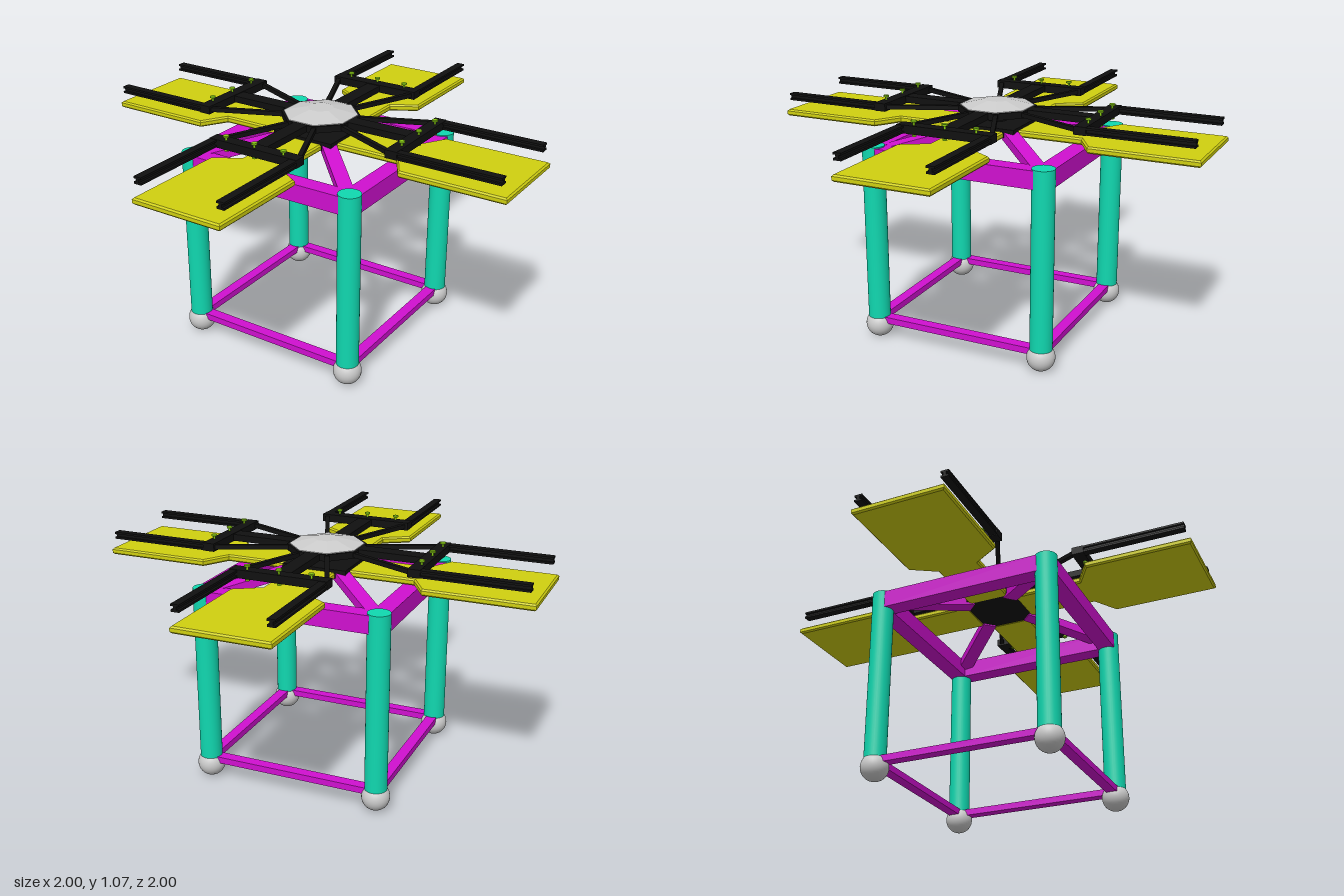
import * as THREE from 'three';

const mat = (color) => new THREE.MeshStandardMaterial({ color, side: THREE.DoubleSide });
const grey = mat(0xcccccc);
const teal = mat(0x10d8b0);
const magenta = mat(0xd010d0);
const yellow = mat(0xd0d010);
const black = mat(0x101010);
const green = mat(0x88cc11);
const facetGrey = grey.clone();
facetGrey.flatShading = true;
const facetBlack = black.clone();
facetBlack.flatShading = true;

function add(parent, name, geometry, material, x = 0, y = 0, z = 0) {
  const mesh = new THREE.Mesh(geometry, material);
  mesh.name = name;
  mesh.position.set(x, y, z);
  parent.add(mesh);
  return mesh;
}

// Rectangular bar running between two points
function beam(parent, name, a, b, width, height, material) {
  const from = new THREE.Vector3(...a), to = new THREE.Vector3(...b);
  const mesh = add(parent, name, new THREE.BoxGeometry(width, height, from.distanceTo(to)), material);
  mesh.position.copy(from).lerp(to, 0.5);
  mesh.lookAt(to);
  return mesh;
}

// Octagonal prism or frustum with its flats facing the axes
function octagon(flatTop, flatBottom, height) {
  const k = 1 / Math.cos(Math.PI / 8);
  return new THREE.CylinderGeometry(flatTop * k, flatBottom * k, height, 8).rotateY(Math.PI / 8);
}

// Leg, foot, rails and roof brace of one corner of the stand
function createCorner() {
  const corner = new THREE.Group();
  corner.name = 'standCorner';
  const p = 0.405;
  add(corner, 'leg', new THREE.CylinderGeometry(0.05, 0.05, 0.85, 32), teal, p, 0.485, p);
  add(corner, 'foot', new THREE.SphereGeometry(0.063, 32, 20), grey, p, 0.063, p);
  beam(corner, 'topRail', [-p, 0.865, p], [p, 0.865, p], 0.08, 0.08, magenta);
  beam(corner, 'bottomRail', [-p, 0.09, p], [p, 0.09, p], 0.05, 0.03, magenta);
  beam(corner, 'roofBrace', [p, 0.872, p], [0.1, 0.95, 0.1], 0.065, 0.04, magenta);
  return corner;
}

// Flat paddle with a narrow root, lying under the arm
function createPaddle() {
  const b = 0.007;
  const half = [[0.13, 0.1], [0.45, 0.1], [0.52, 0.215], [1, 0.215]];
  const outline = [...half, ...half.map(([x, z]) => [x, -z]).reverse()];
  const shape = new THREE.Shape(outline.map(([x, z]) =>
    new THREE.Vector2(x === 1 ? x - b : x, z - Math.sign(z) * b)));
  return new THREE.ExtrudeGeometry(shape, {
    depth: 0.016, bevelEnabled: true, bevelSize: b, bevelThickness: b, bevelSegments: 1
  }).rotateX(-Math.PI / 2).translate(0, 0.942, 0);
}

// I-section rail laid along x
function railGeometry(length) {
  const w = 0.018, h = 0.016, t = 0.007, f = 0.009;
  const right = [[w, -h], [w, f - h], [t, f - h], [t, h - f], [w, h - f], [w, h]];
  const points = [...right, ...right.map(([x, y]) => [-x, y]).reverse()];
  const shape = new THREE.Shape(points.map(([x, y]) => new THREE.Vector2(x, y)));
  return new THREE.ExtrudeGeometry(shape, { depth: length, bevelEnabled: false }).rotateY(Math.PI / 2);
}

function createArm() {
  const arm = new THREE.Group();
  arm.name = 'arm';
  add(arm, 'paddle', createPaddle(), yellow);
  beam(arm, 'spar', [0.1, 1.03, 0], [0.47, 1.03, 0], 0.07, 0.03, black);
  add(arm, 'crossbar', new THREE.BoxGeometry(0.055, 0.036, 0.44), black, 0.483, 1.03, 0);
  for (const s of [-1, 1]) {
    add(arm, 'sideRail', railGeometry(0.515), black, 0.46, 1.03, s * 0.202);
    beam(arm, 'strut', [0.14, 1.03, s * 0.06], [0.465, 1.03, s * 0.2], 0.02, 0.02, black);
  }
  // Bolts through the crossbar
  for (const z of [-0.145, 0, 0.145]) {
    add(arm, 'boltShank', new THREE.CylinderGeometry(0.005, 0.005, 0.066, 12), green, 0.493, 1.033, z);
    add(arm, 'boltHead', new THREE.CylinderGeometry(0.013, 0.013, 0.007, 16), green, 0.493, 1.066, z);
    add(arm, 'boltNut', new THREE.CylinderGeometry(0.011, 0.011, 0.007, 6), green, 0.493, 1.004, z);
  }
  return arm;
}

function createHub() {
  const hub = new THREE.Group();
  hub.name = 'hub';
  add(hub, 'basePlate', new THREE.BoxGeometry(0.3, 0.04, 0.3), black, 0, 0.958, 0);
  add(hub, 'shaft', new THREE.CylinderGeometry(0.045, 0.045, 0.05, 24), black, 0, 0.997, 0);
  add(hub, 'collar', new THREE.CylinderGeometry(0.085, 0.06, 0.014, 24), black, 0, 1.009, 0);
  add(hub, 'hubRing', octagon(0.165, 0.165, 0.03), facetBlack, 0, 1.03, 0);
  add(hub, 'capRim', octagon(0.155, 0.155, 0.006), facetGrey, 0, 1.045, 0);
  add(hub, 'capDome', octagon(0.055, 0.155, 0.024), facetGrey, 0, 1.06, 0);
  return hub;
}

export function createModel() {
  const model = new THREE.Group();
  model.name = 'paddleRotorOnStand';
  for (let i = 0; i < 4; i++) {
    for (const part of [createCorner(), createArm()]) {
      part.rotation.y = i * Math.PI / 2;
      model.add(part);
    }
  }
  model.add(createHub());
  return model;
}
